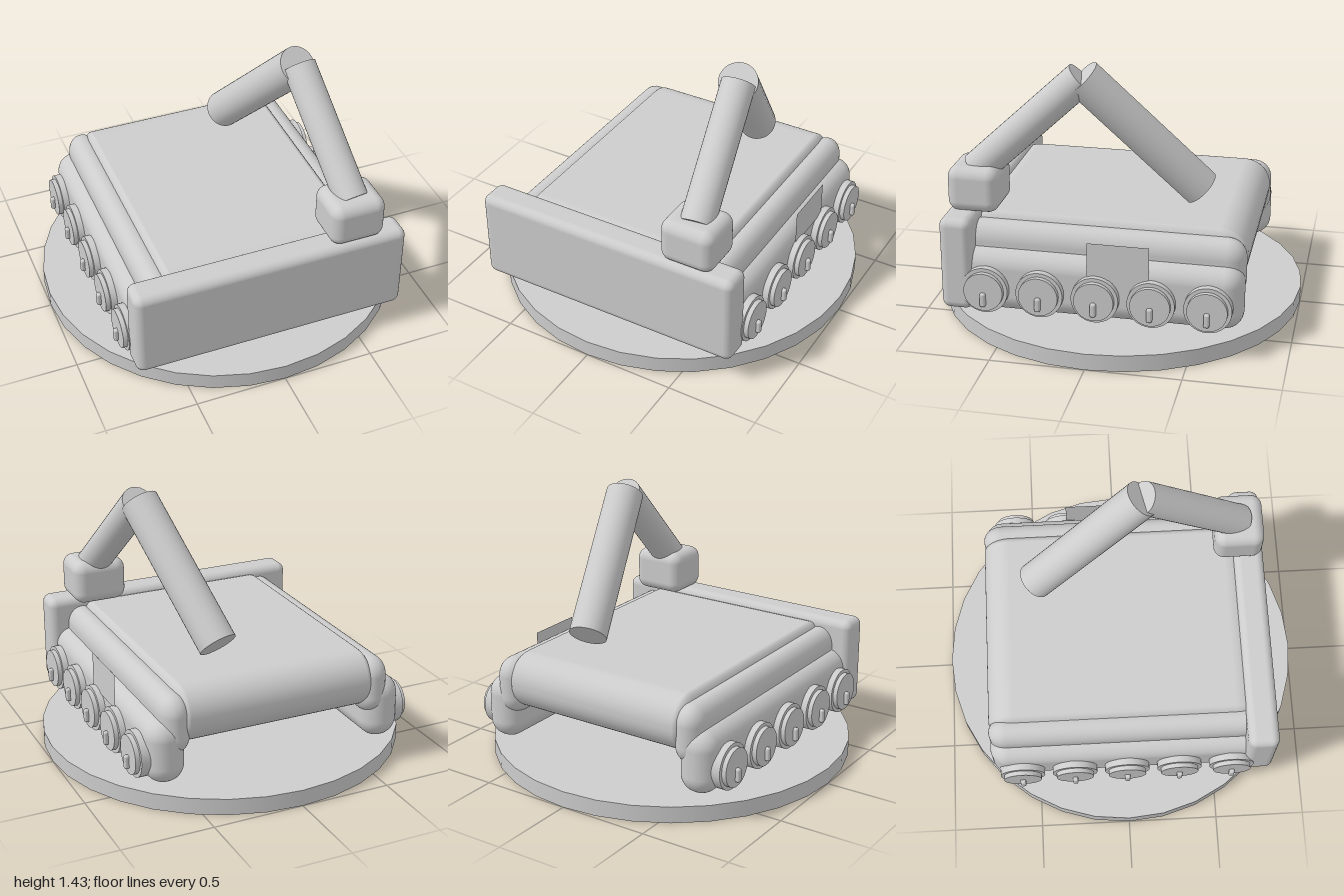
import * as THREE from 'three';
import { RoundedBoxGeometry } from 'three/addons/geometries/RoundedBoxGeometry.js';

export function createModel() {
  const model = new THREE.Group();
  model.name = 'trackedVehicle';

  const grey = new THREE.MeshStandardMaterial({ color: 0xcccccc });
  grey.name = 'plain grey';
  const greySheet = grey.clone();
  greySheet.side = THREE.DoubleSide;
  greySheet.name = 'plain grey sheet';

  function add(name, geometry, parent = model, material = grey) {
    const mesh = new THREE.Mesh(geometry, material);
    mesh.name = name;
    parent.add(mesh);
    return mesh;
  }

  // Rounded box from its limits, with a separate rounding for each axis
  function roundedBox(name, [x0, x1], [y0, y1], [z0, z1], [rx, ry, rz], parent) {
    const g = new RoundedBoxGeometry((x1 - x0) / rx, (y1 - y0) / ry, (z1 - z0) / rz, 5, 1);
    g.scale(rx, ry, rz);
    const mesh = add(name, g, parent);
    mesh.position.set((x0 + x1) / 2, (y0 + y1) / 2, (z0 + z1) / 2);
    return mesh;
  }

  // Cylinder running between two points
  function rod(name, from, to, radius) {
    const a = new THREE.Vector3(...from);
    const b = new THREE.Vector3(...to);
    const mesh = add(name, new THREE.CylinderGeometry(radius, radius, a.distanceTo(b), 32));
    mesh.position.copy(a).lerp(b, 0.5);
    mesh.quaternion.setFromUnitVectors(new THREE.Vector3(0, 1, 0), b.sub(a).normalize());
    return mesh;
  }

  // Display base
  add('base', new THREE.CylinderGeometry(1, 1, 0.09, 32)).position.y = 0.045;

  // Hull and front blade
  roundedBox('hull', [-0.57, 0.57], [0.32, 0.63], [-0.76, 0.76], [0.06, 0.15, 0.15]);
  roundedBox('frontBlade', [-0.76, 0.76], [0.145, 0.655], [0.66, 0.83], [0.045, 0.045, 0.045]);

  // Running gear on both sides
  const wheelGeo = new THREE.CylinderGeometry(0.125, 0.125, 0.08, 32).rotateZ(Math.PI / 2);
  const hubGeo = new THREE.CylinderGeometry(0.105, 0.105, 0.08, 32).rotateZ(Math.PI / 2);
  const pinGeo = new RoundedBoxGeometry(0.05, 0.075, 0.03, 3, 0.01);
  for (const s of [1, -1]) {
    const side = new THREE.Group();
    side.name = s > 0 ? 'leftRunningGear' : 'rightRunningGear';
    model.add(side);
    const span = (a, b) => (s > 0 ? [a, b] : [-b, -a]);
    roundedBox('upperRail', span(0.49, 0.655), [0.28, 0.6], [-0.76, 0.76], [0.08, 0.1, 0.1], side);
    roundedBox('track', span(0.52, 0.73), [0.13, 0.48], [-0.76, 0.76], [0.1, 0.1, 0.1], side);
    for (let i = -2; i <= 2; i++) {
      const z = i * 0.294;
      add('wheel', wheelGeo, side).position.set(s * 0.725, 0.275, z);
      add('wheelHub', hubGeo, side).position.set(s * 0.75, 0.275, z);
      add('wheelPin', pinGeo, side).position.set(s * 0.787, 0.236, z);
    }
  }

  // Thin panel on the left side
  const panel = add('sidePanel', new THREE.PlaneGeometry(0.325, 0.2), model, greySheet);
  panel.rotation.y = Math.PI / 2;
  panel.position.set(0.735, 0.48, -0.118);

  // Folded arm on its mount
  roundedBox('armMount', [0.33, 0.635], [0.645, 0.89], [0.545, 0.82], [0.06, 0.06, 0.06]);
  rod('lowerArm', [0.485, 0.845, 0.69], [0.413, 1.355, 0.14], 0.09);
  rod('upperArm', [0.408, 1.357, 0.135], [0.228, 0.728, -0.465], 0.104);

  return model;
}
